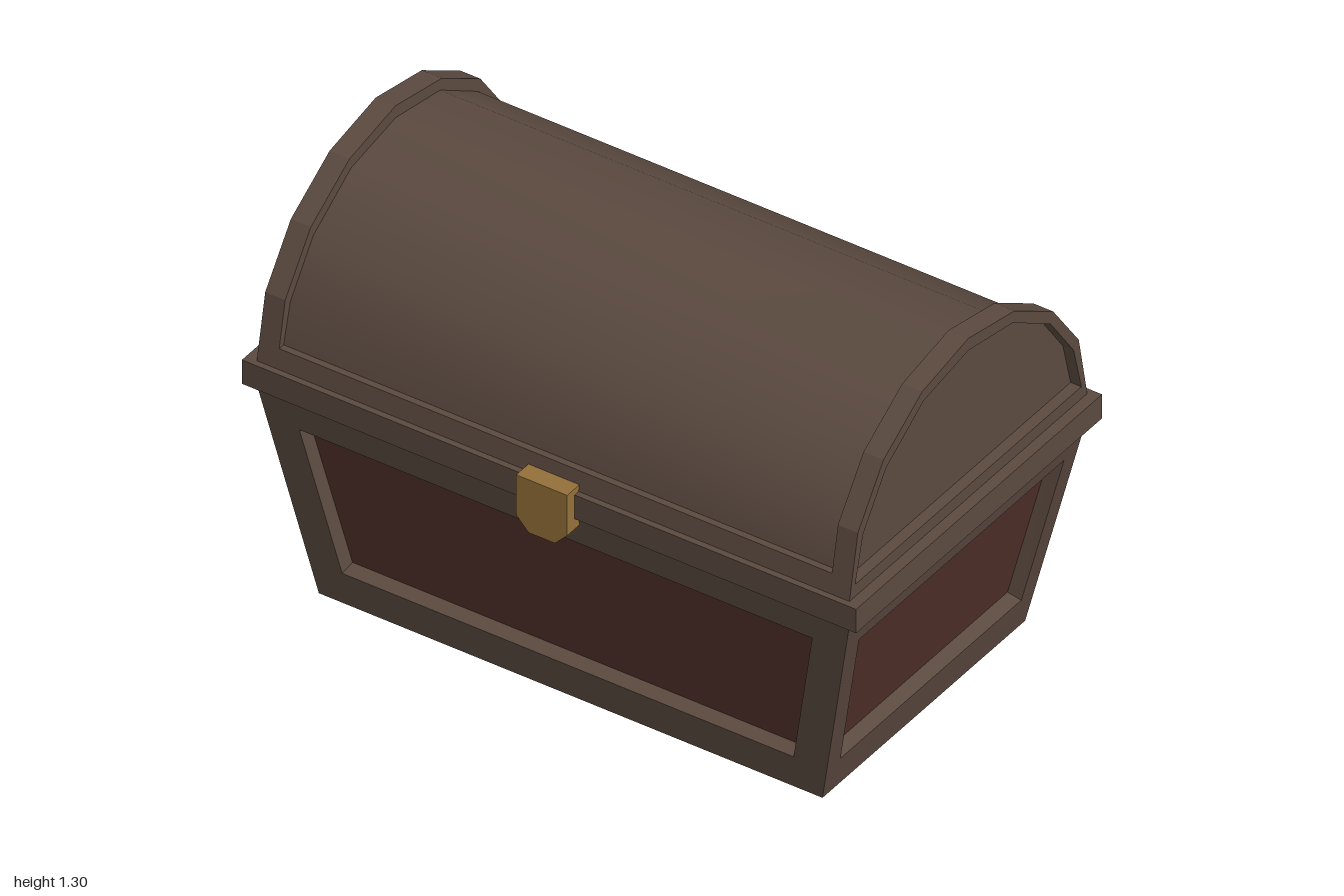
import * as THREE from 'three';
import { toCreasedNormals } from 'three/addons/utils/BufferGeometryUtils.js';

const mat = (color) => new THREE.MeshStandardMaterial({ color });
const wood = mat(0x5a493f), red = mat(0x50302a), brass = mat(0x94703a);

// Quads between two loops of equal length, flat shaded
function strip(a, b, closed = true) {
  const pos = [], n = a.length;
  for (let i = 0; i < (closed ? n : n - 1); i++) {
    const j = (i + 1) % n;
    for (const p of [a[i], a[j], b[j], a[i], b[j], b[i]]) pos.push(...p);
  }
  return toGeometry(pos);
}

// Fan that fills a convex loop
function cap(loop) {
  const pos = [];
  for (let i = 1; i < loop.length - 1; i++) pos.push(...loop[0], ...loop[i], ...loop[i + 1]);
  return toGeometry(pos);
}

function toGeometry(pos) {
  const g = new THREE.BufferGeometry();
  g.setAttribute('position', new THREE.Float32BufferAttribute(pos, 3));
  g.computeVertexNormals();
  return g;
}

function add(parent, name, geometry, material) {
  const mesh = new THREE.Mesh(geometry, material);
  mesh.name = name;
  parent.add(mesh);
  return mesh;
}

// Body half width and half depth at a height
const TOP = 0.69;
const halfW = (y) => 0.82 + 0.145 * y / TOP;
const halfD = (y) => 0.484 + 0.084 * y / TOP;

// Flat outline points (u, y) placed on the front or on the +x side
const onFront = (pts, sink = 0) => pts.map(([u, y]) => [u, y, halfD(y) - sink]);
const onSide = (pts, sink = 0) => pts.map(([u, y]) => [halfW(y) - sink, y, -u]);
const atX = (pts, x) => pts.map(([u, y]) => [x, y, -u]);
const trapezoid = (b, y0, t, y1) => [[-b, y0], [b, y0], [t, y1], [-t, y1]];

// Arch from half of its points, listed from base to crown
const arch = (half) => [...half, ...half.slice(0, -1).reverse().map(([u, y]) => [-u, y])];

// Slanted wall with a sunken panel
function wall(name, place, half, holeLow, holeHigh, panelMaterial) {
  const g = new THREE.Group();
  g.name = name;
  const hole = trapezoid(holeLow, 0.11, holeHigh, 0.585);
  const inner = place(trapezoid(holeLow - 0.004, 0.122, holeHigh - 0.004, 0.585), 0.045);
  add(g, 'wallFrame', strip(place(trapezoid(half(0), 0, half(TOP), TOP)), place(hole)), wood);
  add(g, 'panelReveal', strip(place(hole), inner), wood);
  add(g, 'wallPanel', cap(inner), panelMaterial);
  return g;
}

export function createModel() {
  const chest = new THREE.Group();
  chest.name = 'chest';
  const root = new THREE.Group();
  root.name = 'chestParts';
  root.position.z = -0.0175;
  chest.add(root);

  // Tapered body
  const outer = arch([[0.568, 0.77], [0.5275, 0.975], [0.405, 1.145], [0.22, 1.26], [0, 1.303]]);
  const crown = [[0.503, 0.955], [0.393, 1.11], [0.213, 1.225], [0, 1.263]];
  const barrel = arch([[0.535, 0.83], ...crown]);
  const endPanel = arch([[0.54, 0.81], ...crown]);

  for (const back of [false, true]) {
    const turn = back ? Math.PI : 0;
    const front = wall(back ? 'backWall' : 'frontWall', onFront, halfW, 0.735, 0.835, back ? wood : red);
    const side = wall(back ? 'rightWall' : 'leftWall', onSide, halfD, 0.432, 0.49, red);

    // Lid end: raised arched rim around a sunken panel
    const end = new THREE.Group();
    end.name = back ? 'rightLidEnd' : 'leftLidEnd';
    add(end, 'rimFace', strip(atX(outer, 0.965), atX(endPanel, 0.965)), wood);
    add(end, 'rimReveal', strip(atX(endPanel, 0.965), atX(endPanel, 0.93)), wood);
    add(end, 'endPanel', cap(atX(endPanel, 0.93)), wood);
    add(end, 'rimOuter', strip(atX(outer, 0.9), atX(outer, 0.965), false), wood);
    add(end, 'rimInner', strip(atX(barrel, 0.9), atX(outer, 0.9), false), wood);

    // Low rail along the foot of the lid
    const rail = new THREE.Group();
    rail.name = back ? 'backLidRail' : 'frontLidRail';
    const railProfile = [[-0.535, 0.83], [-0.556, 0.83], [-0.568, 0.77]];
    add(rail, 'lidRail', strip(atX(railProfile, -0.9), atX(railProfile, 0.9), false), wood);

    for (const part of [front, side, end, rail]) {
      part.rotation.y = turn;
      root.add(part);
    }
  }

  // Underside
  const w = halfW(0), d = halfD(0);
  add(root, 'bottom', cap([[-w, 0, -d], [w, 0, -d], [w, 0, d], [-w, 0, d]]), wood);

  // Band between body and lid
  add(root, 'band', new THREE.BoxGeometry(2, 0.08, 1.175), wood).position.y = 0.73;

  // Smooth curved lid
  const lid = strip(atX(barrel, -0.9), atX(barrel, 0.9), false);
  add(root, 'lidBarrel', toCreasedNormals(lid, 1), wood);

  // Clasp plate with clipped lower corners
  const plate = new THREE.Shape([
    [-0.083, 0.79], [-0.083, 0.655], [-0.043, 0.613], [0.043, 0.613], [0.083, 0.655], [0.083, 0.79],
  ].map(([x, y]) => new THREE.Vector2(x, y)));
  const claspGeometry = new THREE.ExtrudeGeometry(plate, { depth: 0.06, bevelEnabled: false });
  add(root, 'clasp', claspGeometry, brass).position.z = 0.5625;

  return chest;
}
